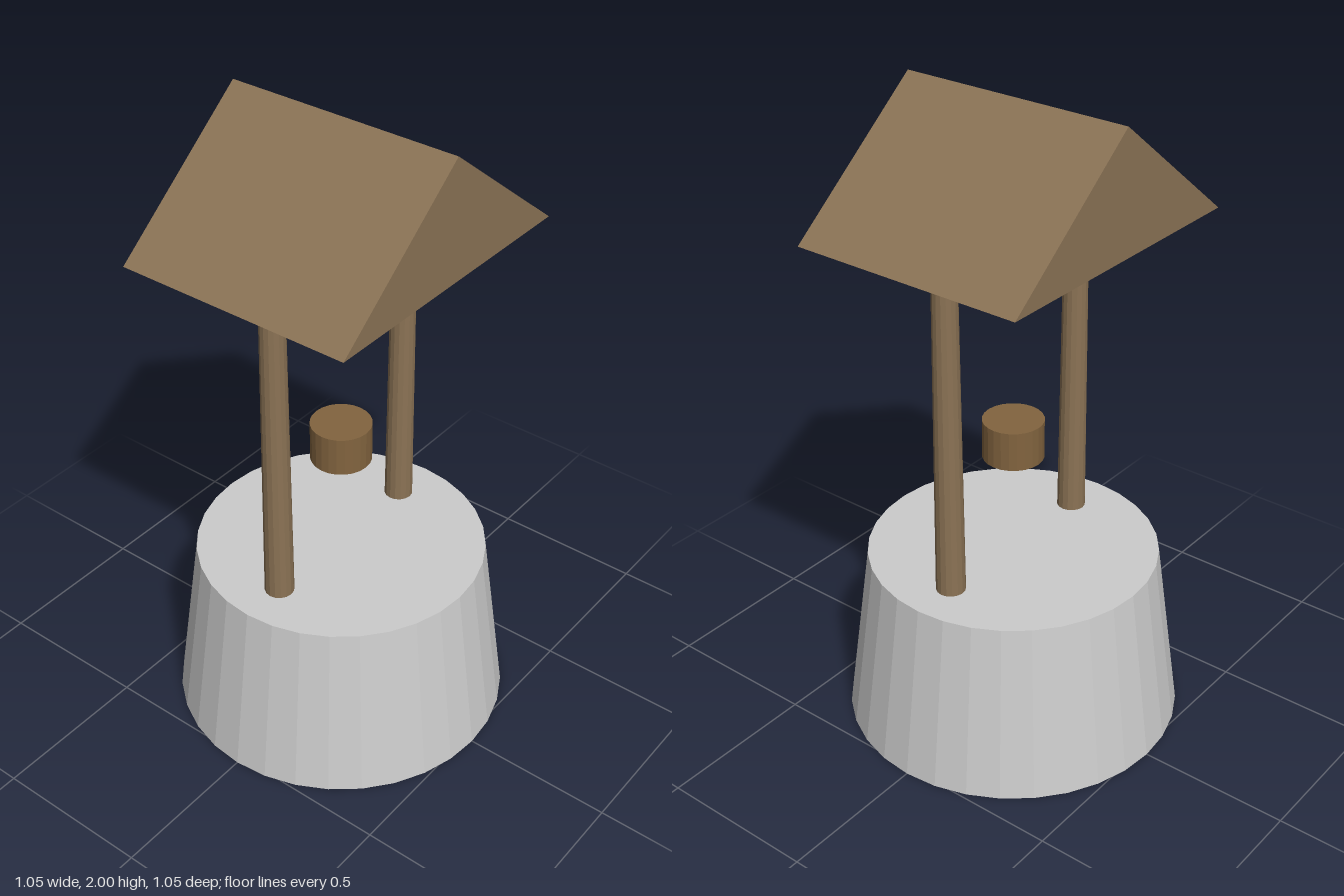
import * as THREE from 'three';

const paint = (color) => new THREE.MeshStandardMaterial({ color, flatShading: true });

export function createModel() {
  const model = new THREE.Group();
  const stone = paint(0xcccccc);
  const wood = paint(0x8b7355);
  const bucketWood = paint(0x82643f);

  // Tapered round part standing between two heights
  const drum = (name, rTop, rBottom, y0, y1, sides, material, x = 0) => {
    const mesh = new THREE.Mesh(new THREE.CylinderGeometry(rTop, rBottom, y1 - y0, sides), material);
    mesh.name = name;
    mesh.position.set(x, (y0 + y1) / 2, 0);
    model.add(mesh);
  };

  // Closed stone base
  drum('stoneBase', 0.45, 0.525, 0, 0.565, 32, stone);

  // Posts, resting on the base and reaching the roof
  drum('leftPost', 0.037, 0.045, 0.565, 1.625, 16, wood, 0.3);
  drum('rightPost', 0.037, 0.045, 0.565, 1.625, 16, wood, -0.3);

  // Hanging bucket
  drum('bucket', 0.094, 0.094, 0.885, 1.01, 24, bucketWood);

  // Solid gabled roof, ridge running front to back
  const gable = new THREE.Shape([
    new THREE.Vector2(-0.47, 1.625),
    new THREE.Vector2(0.47, 1.625),
    new THREE.Vector2(0, 2),
  ]);
  const roof = new THREE.Mesh(
    new THREE.ExtrudeGeometry(gable, { depth: 0.75, bevelEnabled: false }).translate(0, 0, -0.375),
    wood
  );
  roof.name = 'roof';
  model.add(roof);

  return model;
}
